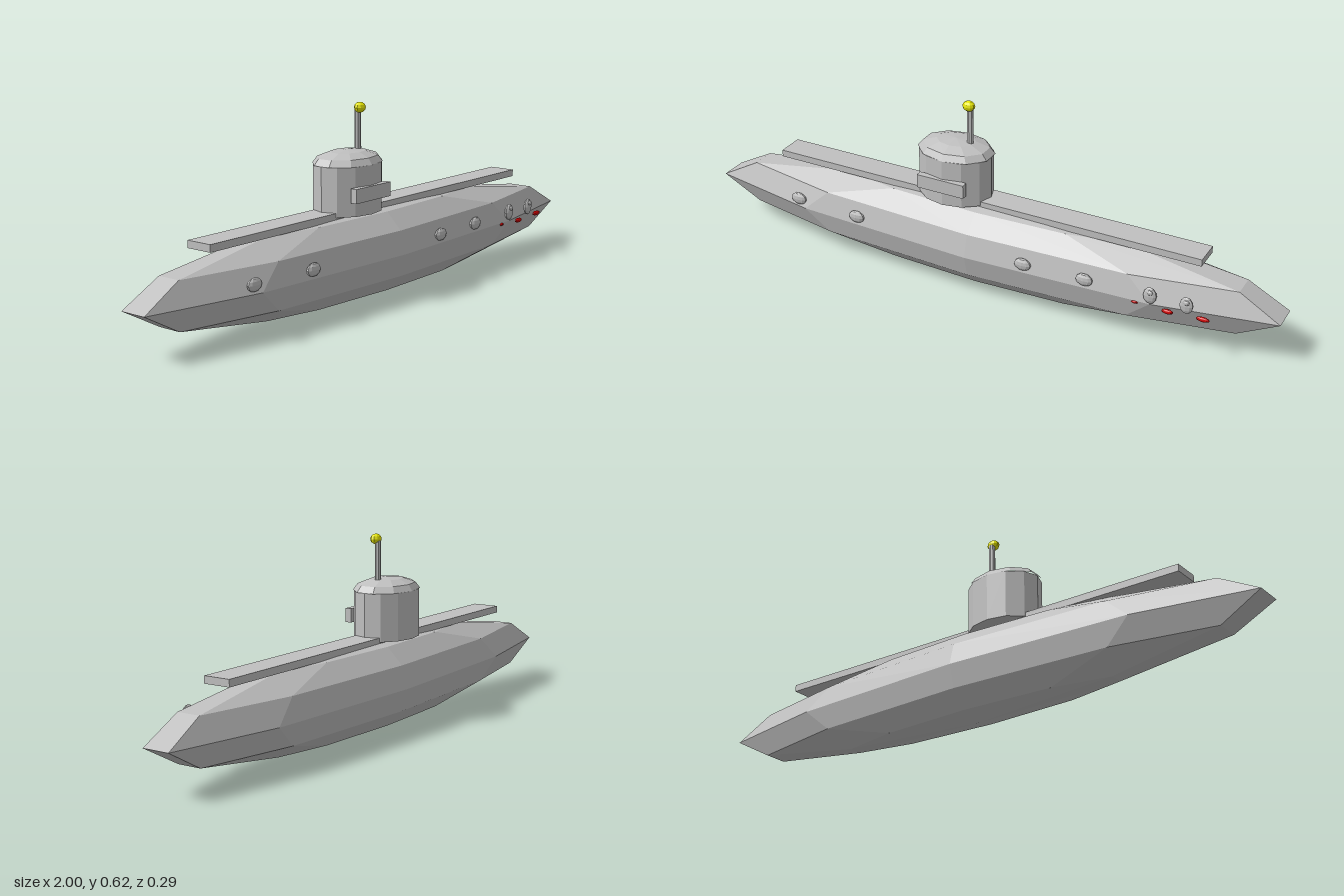
import * as THREE from 'three';

export function createModel() {
  const group = new THREE.Group();
  const material = (name, color) => {
    const m = new THREE.MeshStandardMaterial({ color, flatShading: true });
    m.name = name;
    return m;
  };
  const grey = material('hull grey', 0xc0c0c0);
  const yellow = material('beacon yellow', 0xf0f000);
  const red = material('mouth red', 0xd00000);

  const add = (name, geometry, mat, x, y, z) => {
    const mesh = new THREE.Mesh(geometry, mat);
    mesh.name = name;
    mesh.position.set(x, y, z);
    group.add(mesh);
    return mesh;
  };
  // Faceted ellipsoid with a flat facet at each x end
  const ellipsoid = (rx, ry, rz, sides = 10, rings = 6) =>
    new THREE.SphereGeometry(1, sides, rings, Math.PI / sides).scale(rx, ry, rz);

  // Hull and deck
  add('hull', ellipsoid(1.0515, 0.147, 0.147), grey, 0, 0.149, 0);
  add('deck', new THREE.BoxGeometry(1.495, 0.023, 0.09), grey, -0.002, 0.29, 0);

  // Conning tower with its shallow domed roof and front panel
  add('tower', new THREE.CylinderGeometry(1, 1, 0.154, 12).scale(0.125, 1, 0.097), grey, -0.105, 0.365, 0);
  const roof = new THREE.SphereGeometry(1, 10, 3, Math.PI / 10, Math.PI * 2, 0, Math.PI / 2);
  add('towerRoof', roof.scale(0.13, 0.04, 0.097), grey, -0.105, 0.442, 0);
  add('towerPanel', new THREE.BoxGeometry(0.165, 0.045, 0.022), grey, -0.107, 0.357, 0.095);

  // Mast and beacon
  add('mast', new THREE.CylinderGeometry(1, 1, 0.13, 8).scale(0.011, 1, 0.0095), grey, -0.055, 0.537, 0);
  add('beacon', ellipsoid(0.021, 0.017, 0.017), yellow, -0.055, 0.607, 0.008);

  // Portholes along the front side
  for (const [x, z] of [[-0.645, 0.112], [-0.41, 0.126], [0.2, 0.135], [0.405, 0.126]]) {
    add('porthole', ellipsoid(0.029, 0.021, 0.011), grey, x, 0.177, z);
  }

  // Eyes with raised pupils
  for (const x of [0.617, 0.733]) {
    add('eye', ellipsoid(0.022, 0.028, 0.01), grey, x, 0.18, 0.118);
    add('pupil', ellipsoid(0.01, 0.008, 0.006), grey, x + 0.002, 0.193, 0.125);
  }

  // Mouth made of three small beads
  for (const [x, y, rx, ry] of [[0.57, 0.144, 0.011, 0.005], [0.675, 0.141, 0.019, 0.008], [0.787, 0.148, 0.022, 0.008]]) {
    add('mouthBead', ellipsoid(rx, ry, 0.007), red, x, y, 0.119);
  }
  return group;
}
